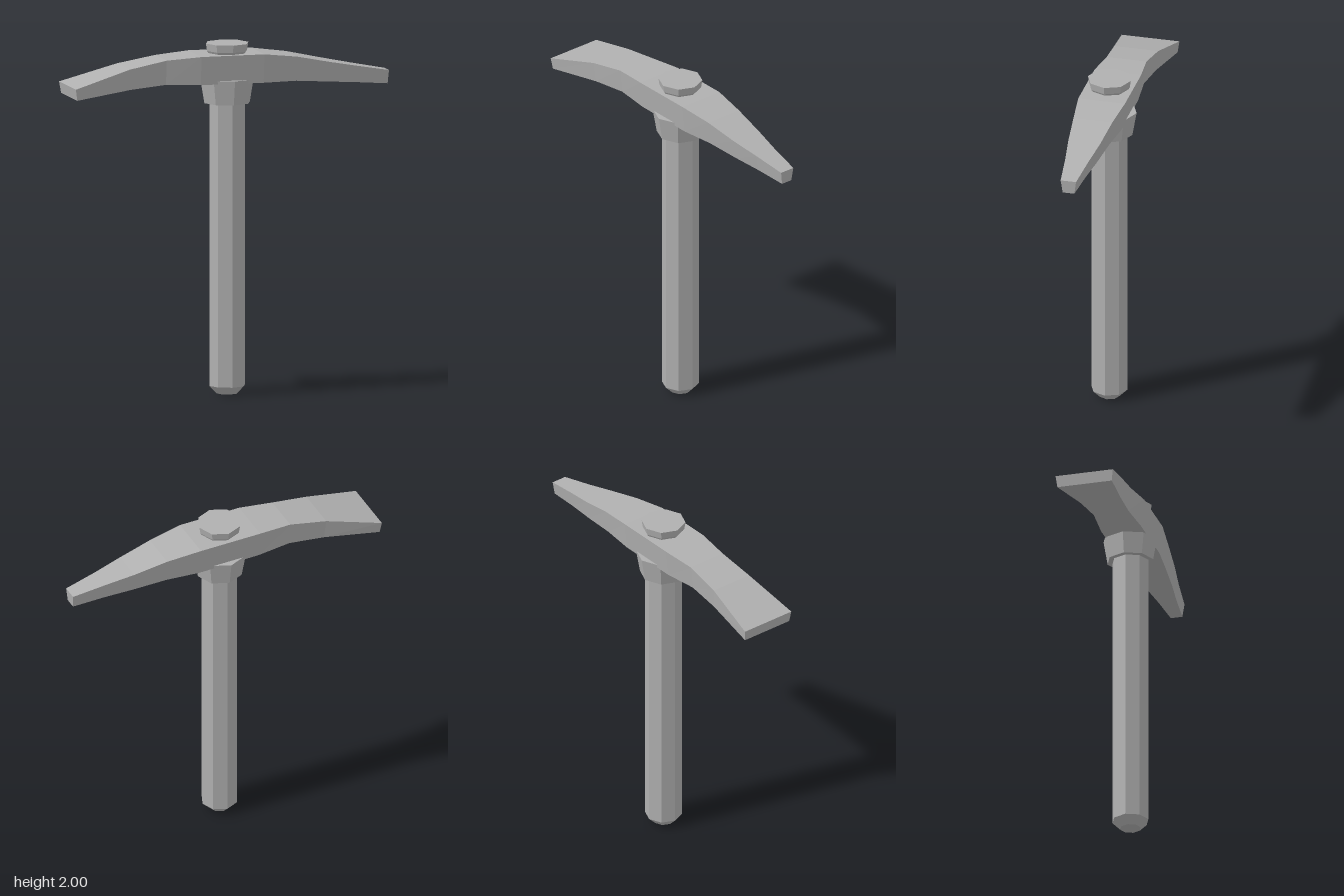
import * as THREE from 'three';

const grey = new THREE.MeshStandardMaterial({ color: 0xb0b0b0, flatShading: true });
grey.name = 'plain grey';

// Head cross-sections: x of top, x of bottom, top y, bottom y, half width at top, half width at bottom
const SECTIONS = [
  [-0.94, -0.93, 1.795, 1.73, 0.168, 0.16],
  [-0.61, -0.60, 1.89, 1.773, 0.128, 0.118],
  [-0.39, -0.39, 1.93, 1.79, 0.116, 0.102],
  [-0.19, -0.19, 1.945, 1.782, 0.136, 0.118],
  [0.18, 0.18, 1.945, 1.78, 0.136, 0.118],
  [0.38, 0.38, 1.92, 1.78, 0.113, 0.096],
  [0.58, 0.58, 1.878, 1.764, 0.092, 0.076],
  [0.75, 0.75, 1.845, 1.75, 0.067, 0.053],
  [0.94, 0.935, 1.81, 1.733, 0.045, 0.034],
];

// Joins four-cornered sections along x and caps both ends
function loftHead(sections) {
  const positions = [];
  const index = [];
  for (const [xt, xb, yt, yb, wt, wb] of sections) {
    positions.push(xt, yt, wt, xt, yt, -wt, xb, yb, -wb, xb, yb, wb);
  }
  const quad = (a, b, c, d) => index.push(a, b, c, a, c, d);
  for (let i = 0; i < sections.length - 1; i++) {
    for (let k = 0; k < 4; k++) {
      const a = i * 4 + k;
      const b = i * 4 + ((k + 1) % 4);
      quad(a, a + 4, b + 4, b);
    }
  }
  const e = (sections.length - 1) * 4;
  quad(0, 1, 2, 3);
  quad(e + 3, e + 2, e + 1, e);
  const geometry = new THREE.BufferGeometry();
  geometry.setAttribute('position', new THREE.Float32BufferAttribute(positions, 3));
  geometry.setIndex(index);
  const flat = geometry.toNonIndexed();
  flat.computeVertexNormals();
  return flat;
}

export function createModel() {
  const model = new THREE.Group();
  model.name = 'pickaxe';

  const add = (name, geometry) => {
    const mesh = new THREE.Mesh(geometry, grey);
    mesh.name = name;
    model.add(mesh);
  };
  // Eight-sided tapered section between two heights
  const octagon = (name, y0, y1, r0, r1) => {
    const geometry = new THREE.CylinderGeometry(r1, r0, y1 - y0, 8);
    geometry.translate(0, (y0 + y1) / 2, 0);
    add(name, geometry);
  };

  // Shaft with a chamfered butt
  octagon('handleButt', 0, 0.045, 0.06, 0.105);
  octagon('handle', 0.045, 1.9, 0.105, 0.105);

  // Collar under the head
  octagon('collar', 1.66, 1.8, 0.134, 0.158);

  // Curved head: broad adze on the right, narrow pick on the left
  add('head', loftHead(SECTIONS));

  // Handle end showing above the head
  octagon('knobNeck', 1.92, 1.957, 0.095, 0.118);
  octagon('knob', 1.957, 2, 0.118, 0.125);

  return model;
}
